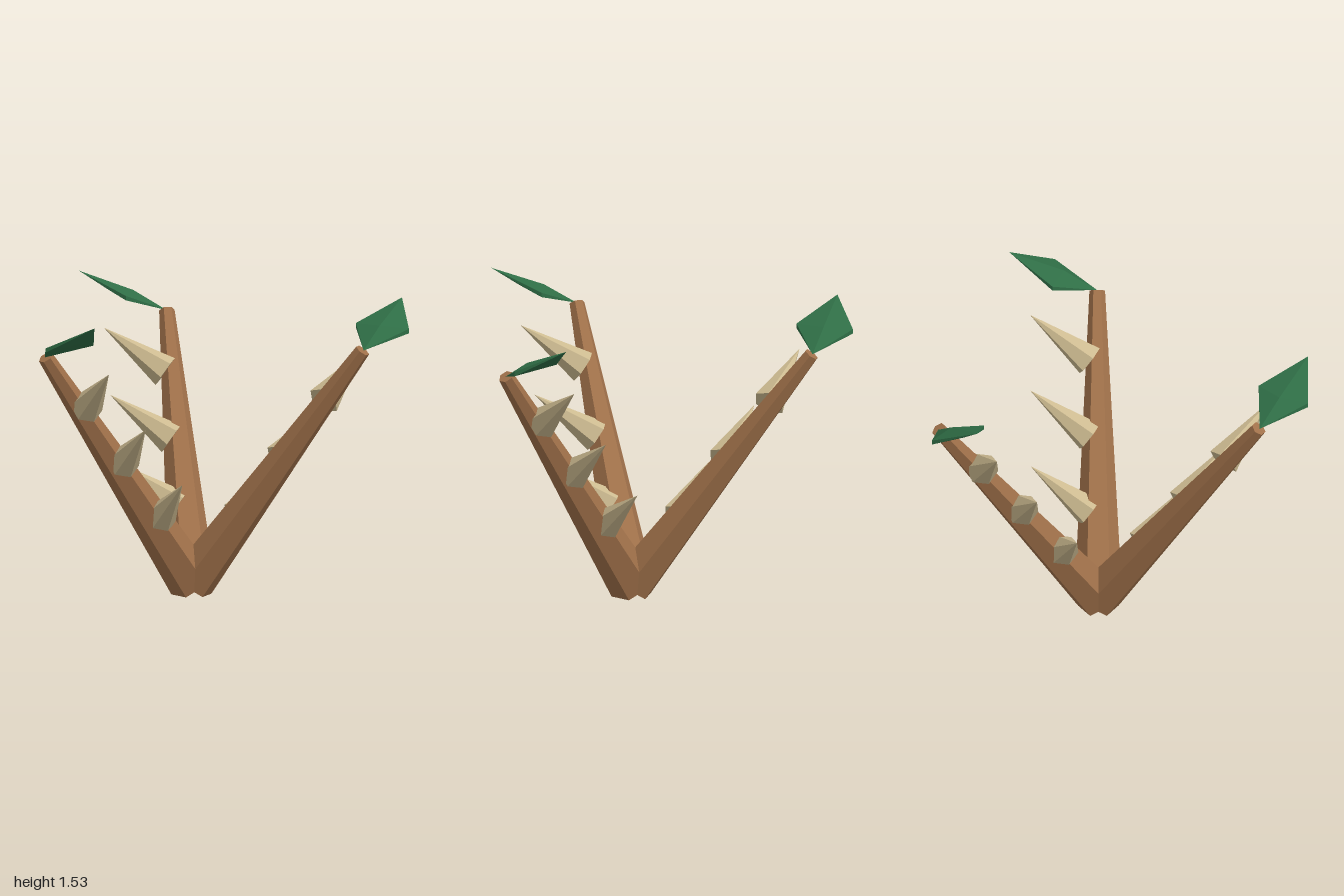
import * as THREE from 'three';
import { ConvexGeometry } from 'three/addons/geometries/ConvexGeometry.js';

const V = (x, y, z) => new THREE.Vector3(x, y, z);
const UP = V(0, 1, 0);

function flatMaterial(name, color) {
  const m = new THREE.MeshStandardMaterial({ color, flatShading: true });
  m.name = name;
  return m;
}

function part(name, geometry, material) {
  const mesh = new THREE.Mesh(geometry, material);
  mesh.name = name;
  return mesh;
}

export function createModel() {
  const wood = flatMaterial('wood', 0xa0714a);
  const thornTan = flatMaterial('thorn tan', 0xccba90);
  const leafGreen = flatMaterial('leaf green', 0x2f6e46);

  // Branch axis, leaning out along +x in the local frame
  const base = V(0, 0.062, 0);
  const tip = V(0.945, 1.32, 0);
  const axis = tip.clone().sub(base);
  const length = axis.length();
  const lean = -Math.atan2(axis.x, axis.y);
  const stemGeo = new THREE.CylinderGeometry(0.04, 0.122, length, 6, 1, true);
  const capGeo = new THREE.CircleGeometry(0.04, 6).rotateZ(Math.PI / 2).rotateX(-Math.PI / 2);

  // Thorn cone, pointing up, back and slightly outwards
  const thornDir = V(0.09, 0.22, -0.305);
  const thornLength = thornDir.length();
  const thornGeo = new THREE.ConeGeometry(0.085, thornLength, 6);
  thornDir.normalize();

  // Thin faceted leaf: stalk end, far point, ridge, keel and two side edges
  const leafGeo = new ConvexGeometry([
    V(0.95, 1.32, 0), V(0.978, 1.53, -0.45),
    V(0.97, 1.425, -0.17), V(0.97, 1.43, -0.3),
    V(0.813, 1.42, -0.23), V(0.813, 1.397, -0.23),
    V(1.113, 1.41, -0.215), V(1.113, 1.387, -0.215),
  ]);

  const model = new THREE.Group();
  model.name = 'thornyBranches';

  for (let i = 0; i < 3; i++) {
    const branch = new THREE.Group();
    branch.name = 'branch' + (i + 1);
    branch.position.set(-0.113, 0, -0.11);
    branch.rotation.y = (i * Math.PI * 2) / 3;

    const stem = part('stem', stemGeo, wood);
    stem.position.copy(base).add(tip).multiplyScalar(0.5);
    stem.rotation.z = lean;
    const cap = part('stemTip', capGeo, wood);
    cap.position.copy(tip);
    cap.rotation.z = lean;
    branch.add(stem, cap, part('leaf', leafGeo, leafGreen));

    // Three evenly spaced thorns
    for (let k = 0; k < 3; k++) {
      const thorn = part('thorn' + (k + 1), thornGeo, thornTan);
      thorn.quaternion.setFromUnitVectors(UP, thornDir);
      thorn.position.set(0.328 + 0.2375 * k, 0.64 + 0.31 * k, -0.345)
        .addScaledVector(thornDir, -thornLength / 2);
      branch.add(thorn);
    }
    model.add(branch);
  }
  return model;
}
